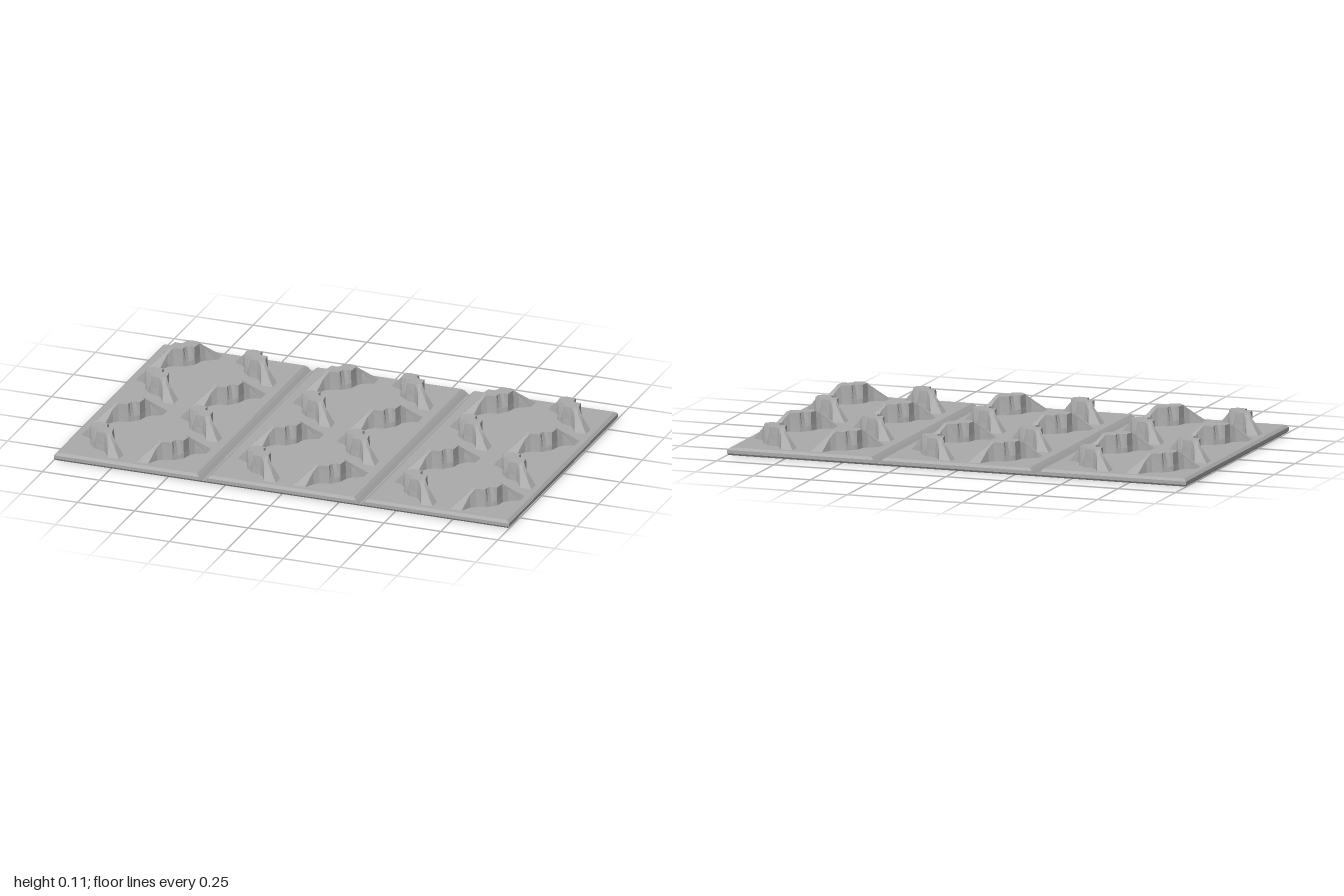
import * as THREE from 'three';

// Flat-shaded solid through a series of equal-length point rings, with end caps
function loft(rings) {
  const pos = [];
  const tri = (a, b, c) => pos.push(...a, ...b, ...c);
  const n = rings[0].length;
  for (let i = 0; i < rings.length - 1; i++) {
    for (let j = 0; j < n; j++) {
      const k = (j + 1) % n;
      tri(rings[i][j], rings[i][k], rings[i + 1][k]);
      tri(rings[i][j], rings[i + 1][k], rings[i + 1][j]);
    }
  }
  const first = rings[0], last = rings[rings.length - 1];
  for (let j = 1; j < n - 1; j++) {
    tri(last[0], last[j], last[j + 1]);
    tri(first[0], first[j + 1], first[j]);
  }
  const geo = new THREE.BufferGeometry();
  geo.setAttribute('position', new THREE.Float32BufferAttribute(pos, 3));
  geo.computeVertexNormals();
  return geo;
}

// Horizontal rectangle used as one level of a slab
const rect = (y, x0, x1, z) => [[x0, y, z], [x1, y, z], [x1, y, -z], [x0, y, -z]];

const DECK = 0.032, TOP = 0.109, HALF_Z = 0.622;

// Wedge-ended ridge with a thicker, notched middle
function ridgeGeometry() {
  // distance along, base half width, mid half width, top half width, mid y, shoulder y, crest y
  const half = [
    [0.168, 0, 0, 0, DECK, DECK, DECK],
    [0.131, 0.036, 0.036, 0.036, DECK, DECK, 0.058],
    [0.085, 0.022, 0.019, 0.015, 0.055, 0.085, 0.091],
    [0.06, 0.024, 0.02, 0.015, 0.06, TOP, TOP],
    [0.026, 0.044, 0.042, 0.04, 0.055, TOP, TOP],
    [0.014, 0.045, 0.041, 0.026, 0.052, TOP, TOP],
    [0, 0.045, 0.04, 0.02, 0.05, TOP, TOP],
  ];
  const mirrored = half.map(([s, ...r]) => [-s, ...r]);
  const stations = [...mirrored, ...half.slice(0, -1).reverse()];
  return loft(stations.map(([s, wb, wm, wt, ym, yt, yc]) => [
    [s, DECK - 0.004, -wb], [s, ym, -wm], [s, yt, -wt], [s, yc, 0],
    [s, yt, wt], [s, ym, wm], [s, DECK - 0.004, wb],
  ]));
}

export function createModel() {
  const group = new THREE.Group();
  const gray = new THREE.MeshStandardMaterial({ color: 0xaaaaaa, flatShading: true });
  gray.name = 'plain gray';
  const add = (name, geo) => {
    const mesh = new THREE.Mesh(geo, gray);
    mesh.name = name;
    group.add(mesh);
    return mesh;
  };

  // Thin continuous base
  add('base', loft([
    rect(0, -0.994, 0.994, HALF_Z - 0.006),
    rect(0.008, -1, 1, HALF_Z),
  ]));

  // Three bevelled panels separated by V grooves
  const panels = [
    [-1, -0.349, 0.012, 0.026],
    [-0.341, 0.341, 0.026, 0.026],
    [0.349, 1, 0.026, 0.012],
  ];
  for (const [x0, x1, in0, in1] of panels) {
    const outer0 = in0 < 0.02 ? 0 : 0.014, outer1 = in1 < 0.02 ? 0 : 0.014;
    add('panel', loft([
      rect(0.008, x0, x1, HALF_Z),
      rect(0.022, x0 + outer0, x1 - outer1, HALF_Z),
      rect(DECK, x0 + in0, x1 - in1, HALF_Z - 0.012),
    ]));
  }

  // Diagonal ridges, alternating so each four surround a round pocket
  const ridge = ridgeGeometry();
  const columns = [-0.845, -0.532, -0.157, 0.157, 0.532, 0.845];
  const rows = [-0.468, -0.156, 0.156, 0.468];
  columns.forEach((x, c) => rows.forEach((z, r) => {
    const mesh = add('ridge', ridge);
    mesh.position.set(x, 0, z);
    mesh.rotation.y = ((c + r) % 2 ? -1 : 1) * Math.PI / 4;
  }));

  return group;
}
